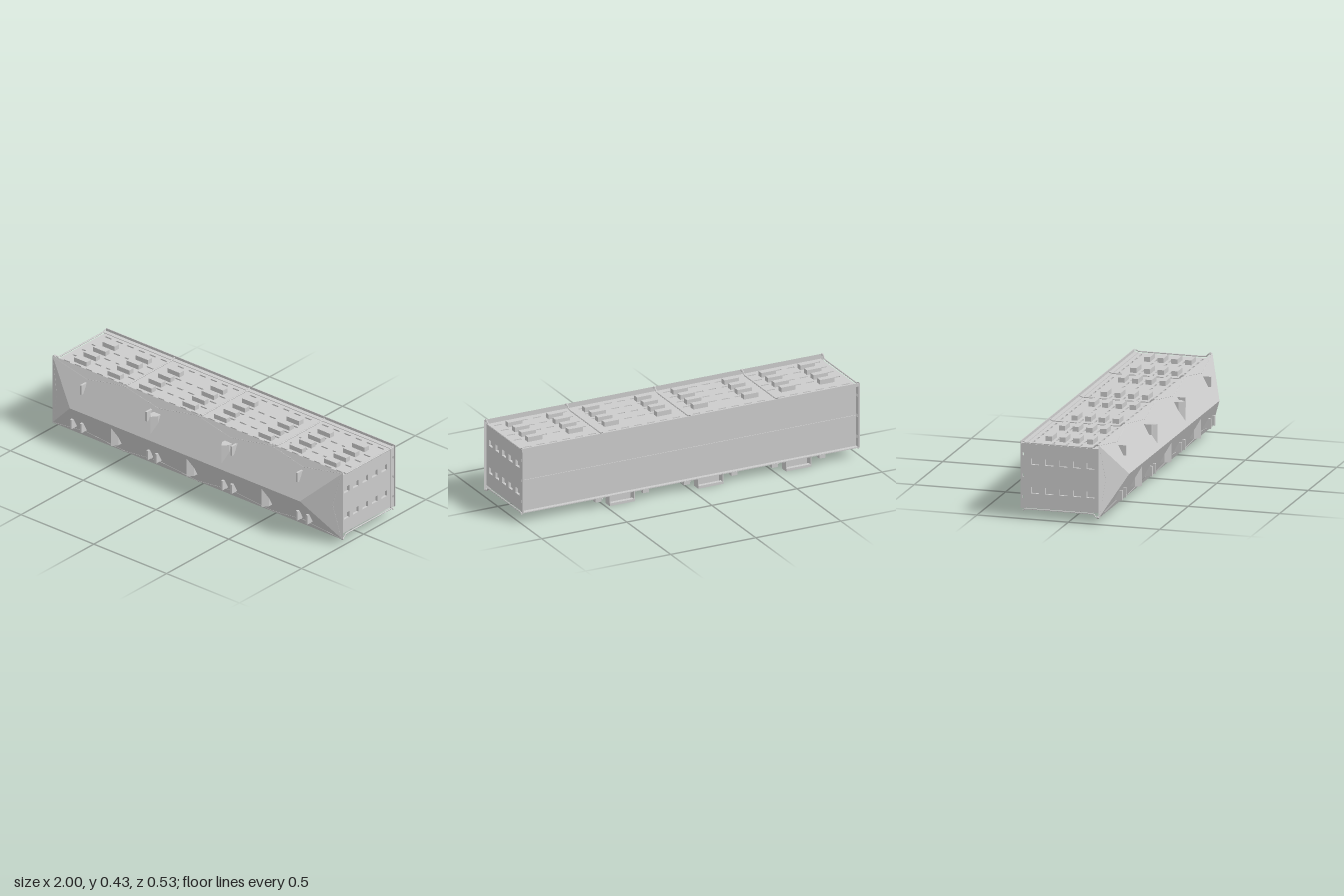
import * as THREE from 'three';

const material = new THREE.MeshStandardMaterial({ color: 0xcccccc, flatShading: true, side: THREE.DoubleSide });

function add(group, name, geometry, x = 0, y = 0, z = 0) {
  const mesh = new THREE.Mesh(geometry, material);
  mesh.name = name;
  mesh.position.set(x, y, z);
  group.add(mesh);
  return mesh;
}

// Box given by its limits on each axis
function block(group, name, x0, x1, y0, y1, z0, z1) {
  return add(group, name, new THREE.BoxGeometry(x1 - x0, y1 - y0, z1 - z0),
    (x0 + x1) / 2, (y0 + y1) / 2, (z0 + z1) / 2);
}

// Thin pipe through straight segments
function pipe(group, name, points, radius) {
  const path = new THREE.CurvePath();
  const v = points.map(p => new THREE.Vector3(...p));
  for (let i = 1; i < v.length; i++) path.add(new THREE.LineCurve3(v[i - 1], v[i]));
  return add(group, name, new THREE.TubeGeometry(path, 24, radius, 5, false));
}

// Outline in (x, z) raised along y
function upright(outline, height) {
  const shape = new THREE.Shape(outline.map(([x, z]) => new THREE.Vector2(x, -z)));
  return new THREE.ExtrudeGeometry(shape, { depth: height, bevelEnabled: false }).rotateX(-Math.PI / 2);
}

// Plate with rectangular openings; each opening is centre u, centre v, width, height
function perforated(u0, u1, v0, v1, openings, depth) {
  const rect = (a, b, c, d) => [[a, c], [b, c], [b, d], [a, d]].map(p => new THREE.Vector2(...p));
  const shape = new THREE.Shape(rect(u0, u1, v0, v1));
  for (const [u, v, w, h] of openings)
    shape.holes.push(new THREE.Path(rect(u - w / 2, u + w / 2, v - h / 2, v + h / 2)));
  return new THREE.ExtrudeGeometry(shape, { depth, bevelEnabled: false });
}

// Hipped front: four corners and a central ridge
const MID = 0.23, HALF = 0.198, BASE = 0.164, RIDGE = 0.268;
function hippedFront() {
  const p = [[-0.998, MID - HALF, BASE], [0.998, MID - HALF, BASE], [0.998, MID + HALF, BASE],
    [-0.998, MID + HALF, BASE], [-0.79, MID, RIDGE], [0.79, MID, RIDGE]];
  const faces = [[0, 1, 5], [0, 5, 4], [2, 3, 4], [2, 4, 5], [1, 2, 5], [3, 0, 4], [0, 3, 2], [0, 2, 1]];
  const geometry = new THREE.BufferGeometry();
  geometry.setAttribute('position', new THREE.Float32BufferAttribute(faces.flat().flatMap(i => p[i]), 3));
  geometry.computeVertexNormals();
  return geometry;
}
const slopeZ = y => BASE + (RIDGE - BASE) * (1 - Math.abs(y - MID) / HALF);

export function createModel() {
  const root = new THREE.Group();
  root.name = 'longPanelledHousing';

  // Inner core, covered by slotted skins
  const SKIN = 0.014, BACK = -0.236;
  block(root, 'core', -0.968, 0.968, 0.071, 0.388, BACK, BASE - 0.001);

  const slots = [];
  for (const z of [-0.21, -0.1, -0.025, 0.05, 0.125])
    for (let bay = 0; bay < 4; bay++)
      for (let i = 0; i < 6; i++) slots.push([-0.935 + bay * 0.497 + i * 0.076, -z, 0.044, 0.01]);
  const deck = perforated(-0.982, 0.982, 0.001 - BASE, -BACK, slots, SKIN).rotateX(-Math.PI / 2);
  add(root, 'topSkin', deck, 0, 0.388, 0);
  add(root, 'bottomSkin', deck, 0, 0.057, 0);

  const windows = [0.152, 0.307].flatMap(y =>
    [0.117, 0.042, -0.033, -0.11, -0.187].map(z => [-z, y, 0.044, 0.034]));
  const endWall = perforated(0.001 - BASE, -BACK, 0.071, 0.388, windows, SKIN).rotateY(Math.PI / 2);
  add(root, 'endSkin', endWall, 0.968);
  add(root, 'endSkin', endWall, -0.982);

  // Recessed back panels inside a shallow flanged frame
  block(root, 'backPanelLower', -0.98, 0.98, 0.058, 0.23, -0.24, BACK);
  block(root, 'backPanelUpper', -0.98, 0.98, 0.234, 0.402, -0.24, BACK);
  const frameSlots = [0.115, 0.233, 0.347].map(y => [0.25, y, 0.009, 0.016]);
  const sideFlange = perforated(-BACK, 0.264, 0.055, 0.405, frameSlots, 0.005).rotateY(Math.PI / 2);
  add(root, 'sideFlange', sideFlange, 0.982);
  add(root, 'sideFlange', sideFlange, -0.987);
  block(root, 'topFlange', -0.987, 0.987, 0.4, 0.405, -0.262, BACK);
  block(root, 'bottomFlange', -0.987, 0.987, 0.053, 0.058, -0.262, BACK);
  block(root, 'topLip', -0.993, 0.993, 0.4, 0.419, -0.264, -0.26);
  for (const s of [-1, 1])
    block(root, 'sideLip', s * 0.987 - 0.005, s * 0.987 + 0.005, 0.055, 0.419, -0.264, -0.26);

  // Hipped front
  add(root, 'hippedFront', hippedFront());

  // Stitched scallop seams on the front slopes
  for (const s of [-1, 1]) {
    const edge = [-0.99, -0.74, -0.515, -0.25, 0, 0.25, 0.515, 0.74, 0.99].map((x, i) => {
      const y = MID + s * (i % 2 ? 0.155 : 0.194);
      return [x, y, slopeZ(y)];
    });
    pipe(root, 'longSeam', edge, 0.0015);
    pipe(root, 'endSeam', [[s * 0.99, MID - 0.19, BASE + 0.003], [s * 0.948, MID, 0.1885],
      [s * 0.99, MID + 0.19, BASE + 0.003]], 0.0015);
  }

  // Pointed pockets that run into the slopes
  const pocket = [[-0.025, 0.165], [0.025, 0.165], [0.025, 0.222], [0, 0.253], [-0.025, 0.222]];
  for (const x of [-0.25, 0.24]) add(root, 'upperPocket', upright(pocket, 0.11), x, 0.252, 0);
  for (const x of [-0.52, 0, 0.515]) add(root, 'lowerPocket', upright(pocket, 0.11), x, 0.095, 0);

  // Narrow fins on the slopes
  for (const x of [-0.742, -0.293, 0.293, 0.742])
    block(root, 'upperFin', x - 0.006, x + 0.006, 0.315, 0.37, BASE, 0.237);
  for (const x of [-0.81, -0.742, -0.285, -0.228, 0.228, 0.29, 0.742, 0.81])
    block(root, 'lowerFin', x - 0.006, x + 0.006, 0.089, 0.143, BASE, 0.237);

  // Vents and frame pipes on top and underside, mirrored about mid height
  const ventColumns = [-0.857, -0.628, -0.41, -0.112, 0.103, 0.41, 0.622, 0.86];
  for (const s of [-1, 1]) {
    const y = d => MID + s * d;
    for (const x of ventColumns)
      for (const z of [0.088, 0.012, -0.063, -0.138])
        add(root, 'ventBox', new THREE.BoxGeometry(0.085, 0.028, 0.034), x, y(0.184), z);

    // Bent pipes across the housing, with a knob at the front
    for (const x of [-0.988, -0.515, 0, 0.515, 0.988]) {
      pipe(root, 'framePipe', [[x, y(0.186), -0.252], [x, y(0.178), -0.235], [x, y(0.178), 0.132],
        [x, y(0.196), 0.148], [x, y(0.2), 0.162]], 0.004);
      add(root, 'frameKnob', new THREE.IcosahedronGeometry(0.008, 0), x, y(0.197), 0.158);
    }
  }

  // Brackets and clips under the back edge
  const web = new THREE.Shape([[0.195, 0.058], [0.195, 0.04], [0.214, 0.036], [0.222, 0],
    [0.264, 0], [0.264, 0.058]].map(p => new THREE.Vector2(...p)));
  const webGeometry = new THREE.ExtrudeGeometry(web, { depth: 0.006, bevelEnabled: false }).rotateY(Math.PI / 2);
  for (const x of [-0.632, -0.115, 0.405]) {
    const bracket = new THREE.Group();
    bracket.name = 'footBracket';
    bracket.position.x = x;
    add(bracket, 'bracketWeb', webGeometry, -0.074);
    add(bracket, 'bracketWeb', webGeometry, 0.068);
    block(bracket, 'bracketFloor', -0.074, 0.074, 0, 0.005, -0.264, -0.222);
    block(bracket, 'bracketFront', -0.074, 0.074, 0, 0.04, -0.224, -0.219);
    block(bracket, 'bracketLip', -0.074, 0.074, 0.002, 0.015, -0.266, -0.245);
    root.add(bracket);
    for (const dx of [-0.14, 0.14])
      block(root, 'railClip', x + dx - 0.018, x + dx + 0.018, 0.035, 0.056, -0.264, -0.238);
  }
  return root;
}
